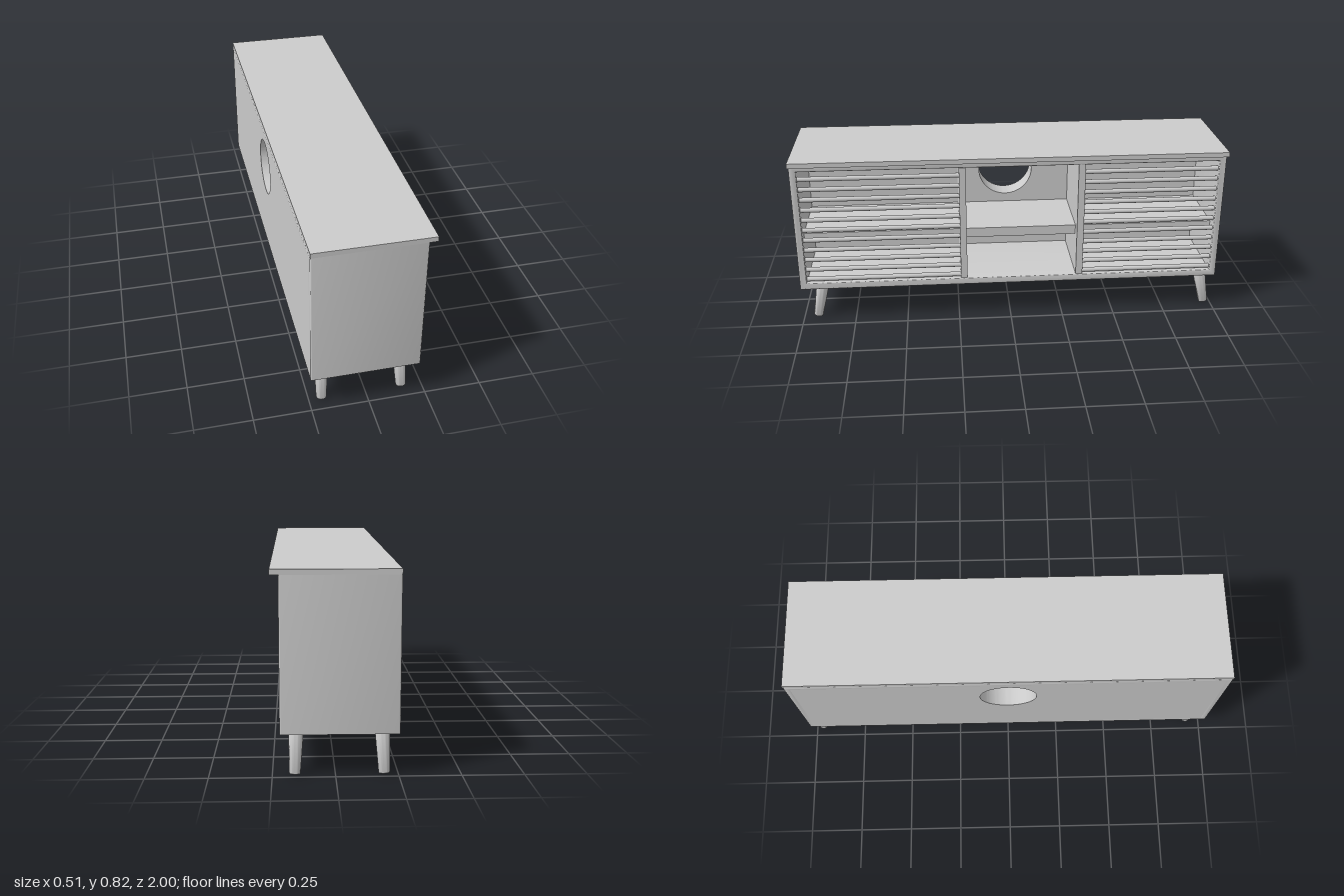
import * as THREE from 'three';
import { toCreasedNormals } from 'three/addons/utils/BufferGeometryUtils.js';
import { RoundedBoxGeometry } from 'three/addons/geometries/RoundedBoxGeometry.js';

const BACK = -0.254, FRONT = 0.22, INNER_BACK = -0.155;
const BOTTOM = 0.172, TOP = 0.8, FLOOR = 0.206, CEILING = 0.768;
const INNER_END = 0.967, BEVEL = 0.006;
const DIVIDERS = [[0.207, 0.238], [-0.345, -0.313]];

export function createModel() {
  const model = new THREE.Group();
  const material = new THREE.MeshStandardMaterial({ color: 0xcccccc, roughness: 0.8 });

  const add = (name, geometry) => {
    const mesh = new THREE.Mesh(geometry, material);
    mesh.name = name;
    model.add(mesh);
    return mesh;
  };

  // Box given by its limits on each axis, with optional softened edges
  const addBox = (name, [x0, x1], [y0, y1], [z0, z1], radius = 0) => {
    const size = [x1 - x0, y1 - y0, z1 - z0];
    const geometry = radius
      ? new RoundedBoxGeometry(...size, 2, radius)
      : new THREE.BoxGeometry(...size);
    add(name, geometry).position.set((x0 + x1) / 2, (y0 + y1) / 2, (z0 + z1) / 2);
  };

  // Rectangle in the long (z) and height (y) plane
  const rectangle = (Type, half, y0, y1) => {
    const path = new Type();
    path.moveTo(-half, y0).lineTo(half, y0).lineTo(half, y1).lineTo(-half, y1).closePath();
    return path;
  };

  // Extrude a z/y outline along x, from x0 to x1
  const extrudeX = (shape, x0, x1, bevel) => {
    const geometry = new THREE.ExtrudeGeometry(shape, {
      depth: x1 - x0 - 2 * bevel,
      bevelEnabled: bevel > 0,
      bevelSize: bevel, bevelThickness: bevel, bevelOffset: -bevel, bevelSegments: 3,
      curveSegments: 48,
    });
    geometry.translate(0, 0, x0 + bevel).rotateY(Math.PI / 2);
    return toCreasedNormals(geometry, 0.6);
  };

  // Worktop overhanging the open side
  addBox('worktop', [BACK, 0.254], [TOP, 0.822], [-1, 1]);

  // Outer frame with softened edges
  const frame = rectangle(THREE.Shape, 1, BOTTOM, TOP);
  frame.holes.push(rectangle(THREE.Path, INNER_END, FLOOR, CEILING));
  add('cabinetFrame', extrudeX(frame, BACK, FRONT, BEVEL));

  // Thick back panel with a round cable opening
  const panel = rectangle(THREE.Shape, INNER_END + BEVEL, FLOOR - BEVEL, CEILING + BEVEL);
  panel.holes.push(new THREE.Path().absarc(0, 0.614, 0.131, 0, Math.PI * 2, true));
  add('backPanel', extrudeX(panel, BACK, INNER_BACK, 0));

  // Dividers between the three compartments
  for (const span of DIVIDERS) {
    addBox('divider', [INNER_BACK, FRONT - 0.003], [FLOOR, CEILING], span);
  }

  // Shelves, set back from the front
  const compartments = [
    [DIVIDERS[0][1], INNER_END],
    [DIVIDERS[1][1], DIVIDERS[0][0]],
    [-INNER_END, DIVIDERS[1][0]],
  ];
  for (const span of compartments) {
    addBox('shelf', [INNER_BACK, 0.162], [0.394, 0.44], span);
  }

  // Horizontal slats across the two outer compartments
  for (const [z0, z1] of [compartments[0], compartments[2]]) {
    for (let i = 0; i < 11; i++) {
      const slat = add('slat', new THREE.CylinderGeometry(0.011, 0.011, z1 - z0, 16));
      slat.rotation.x = Math.PI / 2;
      slat.position.set(0.2, 0.219 + i * 0.0508, (z0 + z1) / 2);
    }
  }

  // Tapered legs splayed outwards
  const legHeight = BOTTOM + 0.002;
  const legProfile = [
    [0, 0], [0.018, 0], [0.021, 0.001], [0.0225, 0.005],
    [0.03, legHeight - 0.006], [0.028, legHeight - 0.001], [0.026, legHeight], [0, legHeight],
  ].map(([r, y]) => new THREE.Vector2(r, y));
  const legGeometry = toCreasedNormals(new THREE.LatheGeometry(legProfile, 32), 0.7);
  const up = new THREE.Vector3(0, 1, 0);
  for (const [xTop, xFoot] of [[0.155, 0.161], [-0.188, -0.194]]) {
    for (const [zTop, zFoot] of [[0.9, 0.934], [-0.936, -0.969]]) {
      const leg = add('leg', legGeometry);
      leg.position.set(xFoot, 0.003, zFoot);
      const axis = new THREE.Vector3(xTop - xFoot, BOTTOM, zTop - zFoot).normalize();
      leg.quaternion.setFromUnitVectors(up, axis);
    }
  }

  return model;
}
